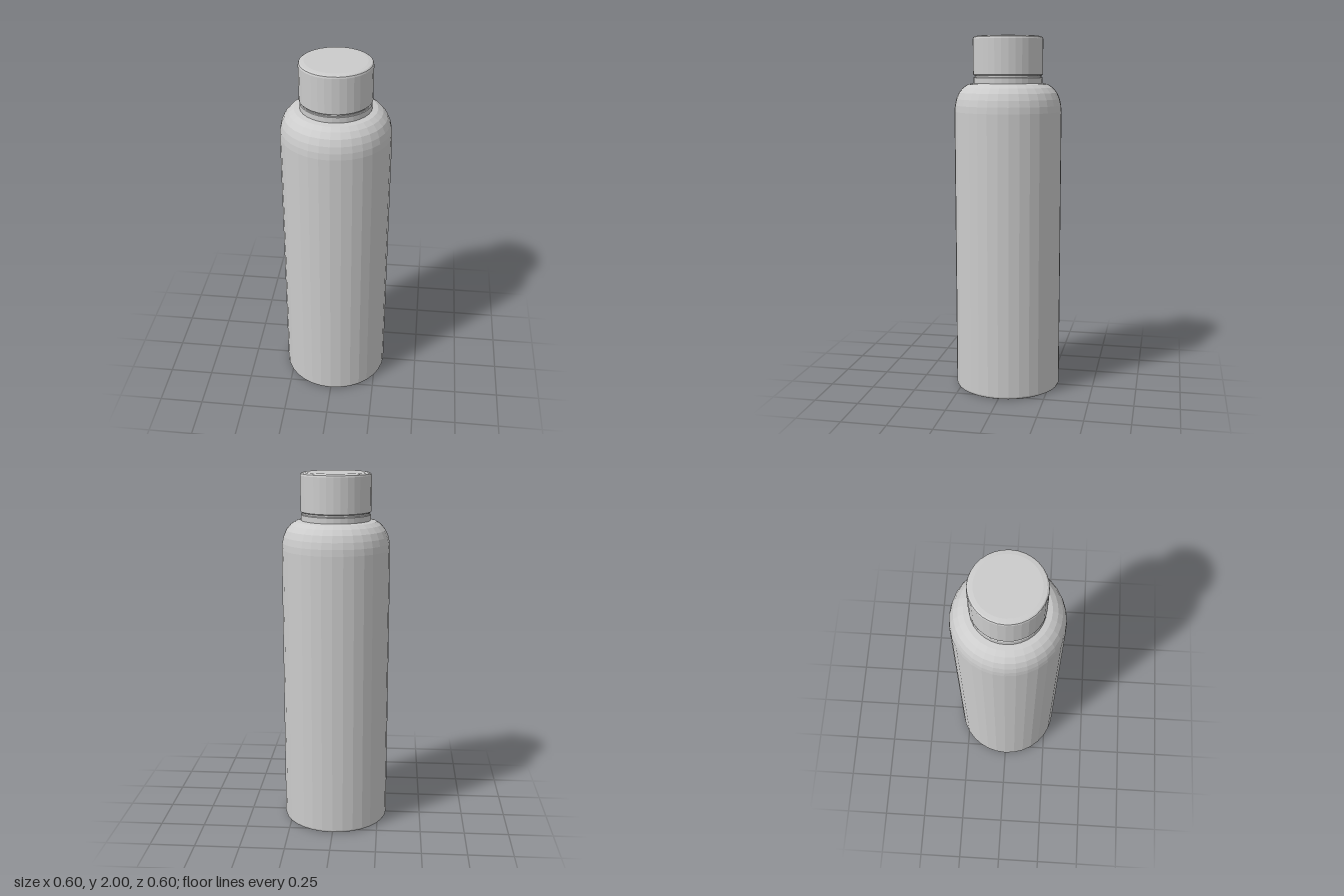
import * as THREE from 'three';

const SIDES = 32;

// Faceted solid of revolution from [radius, height] pairs, bottom to top
function turned(name, profile) {
  const points = profile.map(([r, y]) => new THREE.Vector2(r, y));
  const material = new THREE.MeshStandardMaterial({ color: 0xcccccc, flatShading: true });
  const mesh = new THREE.Mesh(new THREE.LatheGeometry(points, SIDES), material);
  mesh.name = name;
  return mesh;
}

export function createModel() {
  const group = new THREE.Group();
  group.name = 'bottle';

  // Body with a small bottom bevel and a rounded shoulder
  group.add(turned('body', [
    [0, 0], [0.29, 0], [0.297, 0.004], [0.3, 0.014],
    [0.3, 1.585], [0.297, 1.62], [0.289, 1.655], [0.274, 1.69],
    [0.25, 1.718], [0.222, 1.736], [0.19, 1.742], [0, 1.742],
  ]));

  // Neck collar between shoulder and cap
  group.add(turned('neckCollar', [
    [0, 1.735], [0.192, 1.735], [0.192, 1.772], [0.189, 1.776], [0, 1.776],
  ]));

  // Recessed seam under the cap
  group.add(turned('capSeam', [
    [0, 1.77], [0.185, 1.77], [0.185, 1.792], [0, 1.792],
  ]));

  // Cap with softened rims
  group.add(turned('cap', [
    [0, 1.785], [0.19, 1.785], [0.195, 1.79], [0.195, 1.983],
    [0.192, 1.992], [0.185, 1.997], [0.165, 2], [0, 2],
  ]));

  return group;
}
